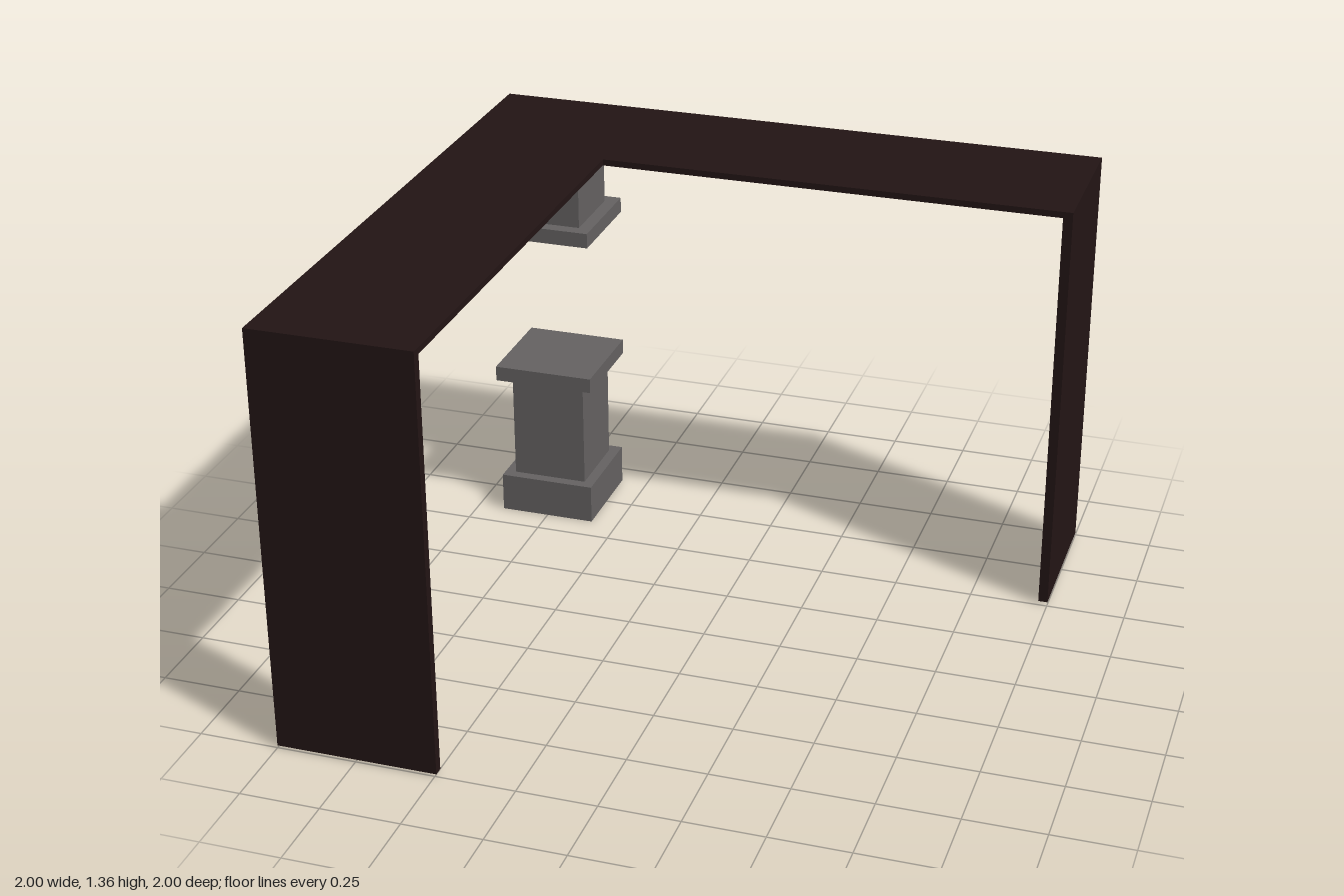
import * as THREE from 'three';

export function createModel() {
  const model = new THREE.Group();
  const wood = new THREE.MeshStandardMaterial({ color: 0x231515 });
  const stone = new THREE.MeshStandardMaterial({ color: 0x666363 });

  // Box given by its minimum and maximum corners
  function box(name, material, min, max, parent = model) {
    const size = max.map((v, i) => v - min[i]);
    const mesh = new THREE.Mesh(new THREE.BoxGeometry(...size), material);
    mesh.position.set(...max.map((v, i) => (v + min[i]) / 2));
    mesh.name = name;
    parent.add(mesh);
  }

  const top = 1.355, under = 1.335, floor = 0.008;
  const innerX = -0.495, innerZ = -0.51;

  // L-shaped worktop, outlined in x and z and extruded downwards
  const outline = new THREE.Shape([
    [-1, -1], [1, -1], [1, innerZ], [innerX, innerZ], [innerX, 1], [-1, 1],
  ].map(([x, z]) => new THREE.Vector2(x, z)));
  const slab = new THREE.ExtrudeGeometry(outline, { depth: top - under, bevelEnabled: false });
  slab.rotateX(Math.PI / 2);
  const worktop = new THREE.Mesh(slab, wood);
  worktop.name = 'worktop';
  worktop.position.y = top;
  model.add(worktop);

  // End panels that carry the two wings
  box('frontPanel', wood, [-1, floor, 0.97], [innerX, under, 1]);
  box('sidePanel', wood, [0.97, floor, -1], [1, under, innerZ]);

  // Square corner pillar in two separate halves: [name, half width, bottom, top]
  const pillar = new THREE.Group();
  pillar.name = 'cornerPillar';
  pillar.position.set(-0.75, 0, -0.755);
  model.add(pillar);
  for (const [name, h, y0, y1] of [
    ['pillarBase', 0.16, 0, 0.13],
    ['lowerShaft', 0.125, 0.13, 0.49],
    ['lowerCap', 0.167, 0.49, 0.54],
    ['upperFoot', 0.167, 1.01, 1.06],
    ['upperShaft', 0.125, 1.06, under],
  ]) box(name, stone, [-h, y0, -h], [h, y1, h], pillar);

  return model;
}
